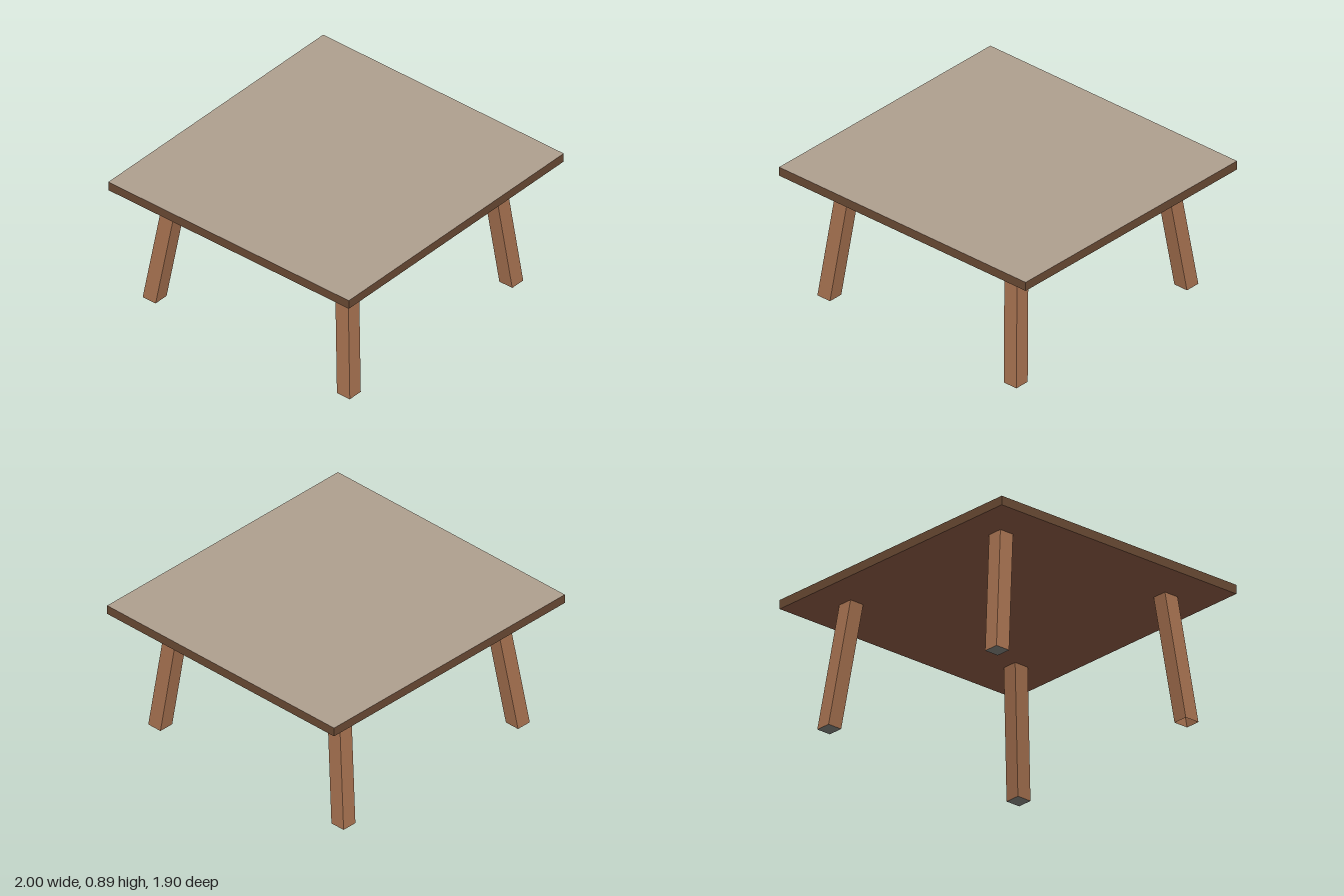
import * as THREE from 'three';

const paint = (name, color) => {
  const m = new THREE.MeshStandardMaterial({ color });
  m.name = name;
  return m;
};

export function createModel() {
  const table = new THREE.Group();
  table.name = 'table';

  const topWood = paint('pale table surface', 0xb1a190);
  const edgeWood = paint('dark brown edge', 0x6e4d36);
  const underWood = paint('brown underside', 0xa0684f);
  const legWood = paint('leg brown', 0xaa7452);
  const footGrey = paint('grey foot pad', 0x999791);
  legWood.side = THREE.DoubleSide;

  // Tabletop: box faces run +x, -x, top, bottom, +z, -z
  const underY = 0.835, thickness = 0.06;
  const top = new THREE.Mesh(
    new THREE.BoxGeometry(2, thickness, 1.9),
    [edgeWood, edgeWood, topWood, underWood, edgeWood, edgeWood]
  );
  top.name = 'tabletop';
  top.position.y = underY + thickness / 2;
  table.add(top);

  // Splayed legs: square boxes sheared from the foot to the tabletop
  const addLeg = (name, [topX, footX], [topZ, footZ], openFoot) => {
    const geometry = new THREE.BoxGeometry(0.102, underY, 0.102);
    const p = geometry.attributes.position;
    for (let i = 0; i < p.count; i++) {
      const atTop = p.getY(i) > 0;
      p.setXYZ(
        i,
        p.getX(i) + (atTop ? topX : footX),
        atTop ? underY : 0,
        p.getZ(i) + (atTop ? topZ : footZ)
      );
    }
    geometry.computeVertexNormals();
    // One leg is hollow at the foot: drop its bottom face group
    if (openFoot) geometry.groups = geometry.groups.filter((g) => g.materialIndex !== 3);
    const leg = new THREE.Mesh(geometry, [legWood, legWood, legWood, footGrey, legWood, legWood]);
    leg.name = name;
    table.add(leg);
  };

  // Centre positions as [at tabletop, at foot]
  const left = [0.668, 0.743], right = [-0.681, -0.769];
  const front = [0.664, 0.754], back = [-0.669, -0.78];
  addLeg('frontLeftLeg', left, front, false);
  addLeg('frontRightLeg', right, front, true);
  addLeg('backLeftLeg', left, back, false);
  addLeg('backRightLeg', right, back, false);

  return table;
}
